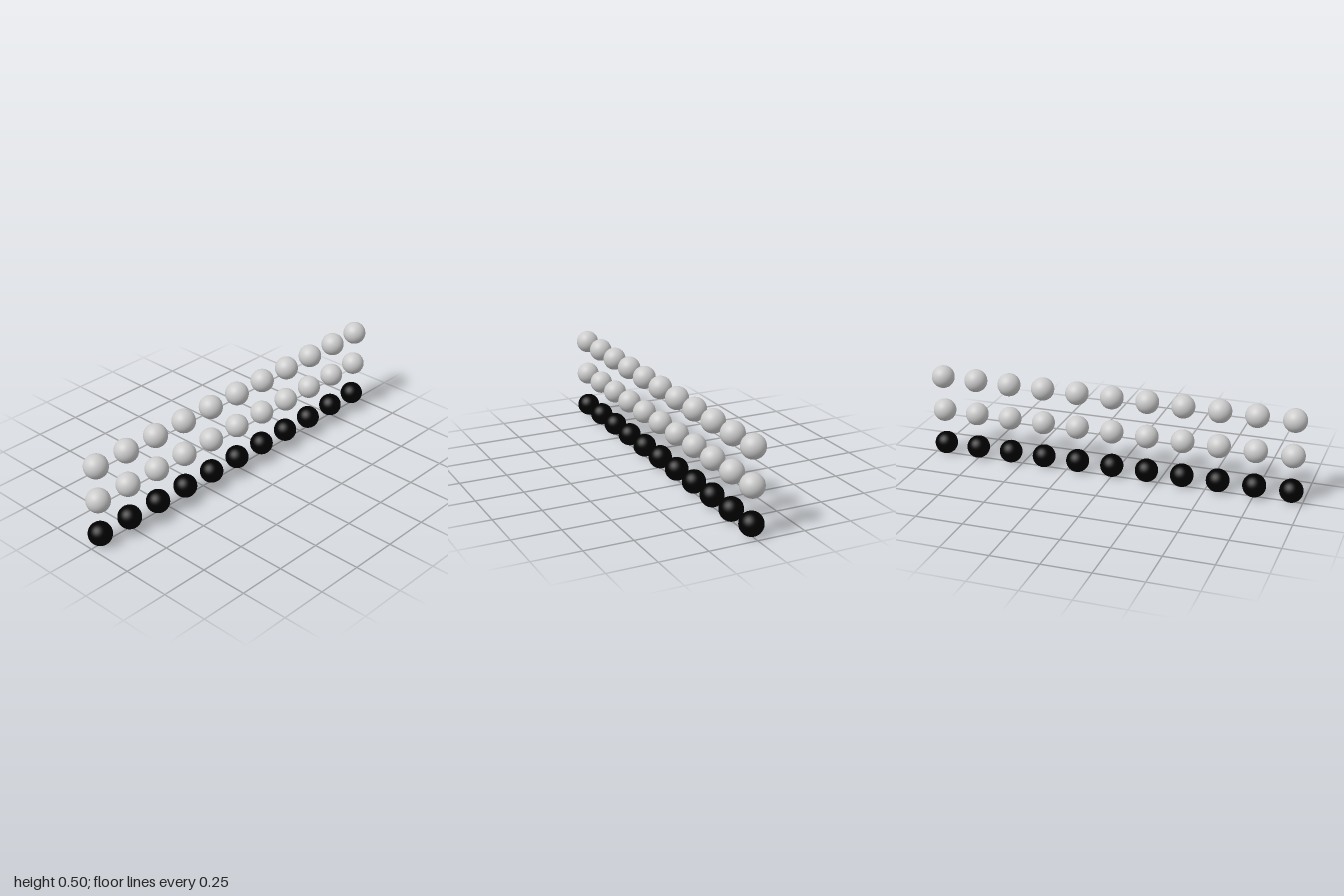
import * as THREE from 'three';

const COLUMNS = 11;
const SPACING = 0.188;
const RADIUS = 0.06;

export function createModel() {
  const model = new THREE.Group();
  model.name = 'sphereGrid';

  const grey = new THREE.MeshStandardMaterial({ color: 0xcccccc });
  const black = new THREE.MeshStandardMaterial({ color: 0x000000 });
  const ball = new THREE.SphereGeometry(RADIUS, 48, 32);

  // Three rows of equal balls, the lowest one black
  const rows = [
    ['bottomRow', black],
    ['middleRow', grey],
    ['topRow', grey],
  ];
  rows.forEach(([name, material], level) => {
    const row = new THREE.Group();
    row.name = name;
    row.position.y = RADIUS + level * SPACING;
    for (let i = 0; i < COLUMNS; i++) {
      const sphere = new THREE.Mesh(ball, material);
      sphere.name = `sphere${i + 1}`;
      sphere.position.x = (i - (COLUMNS - 1) / 2) * SPACING;
      row.add(sphere);
    }
    model.add(row);
  });

  return model;
}
